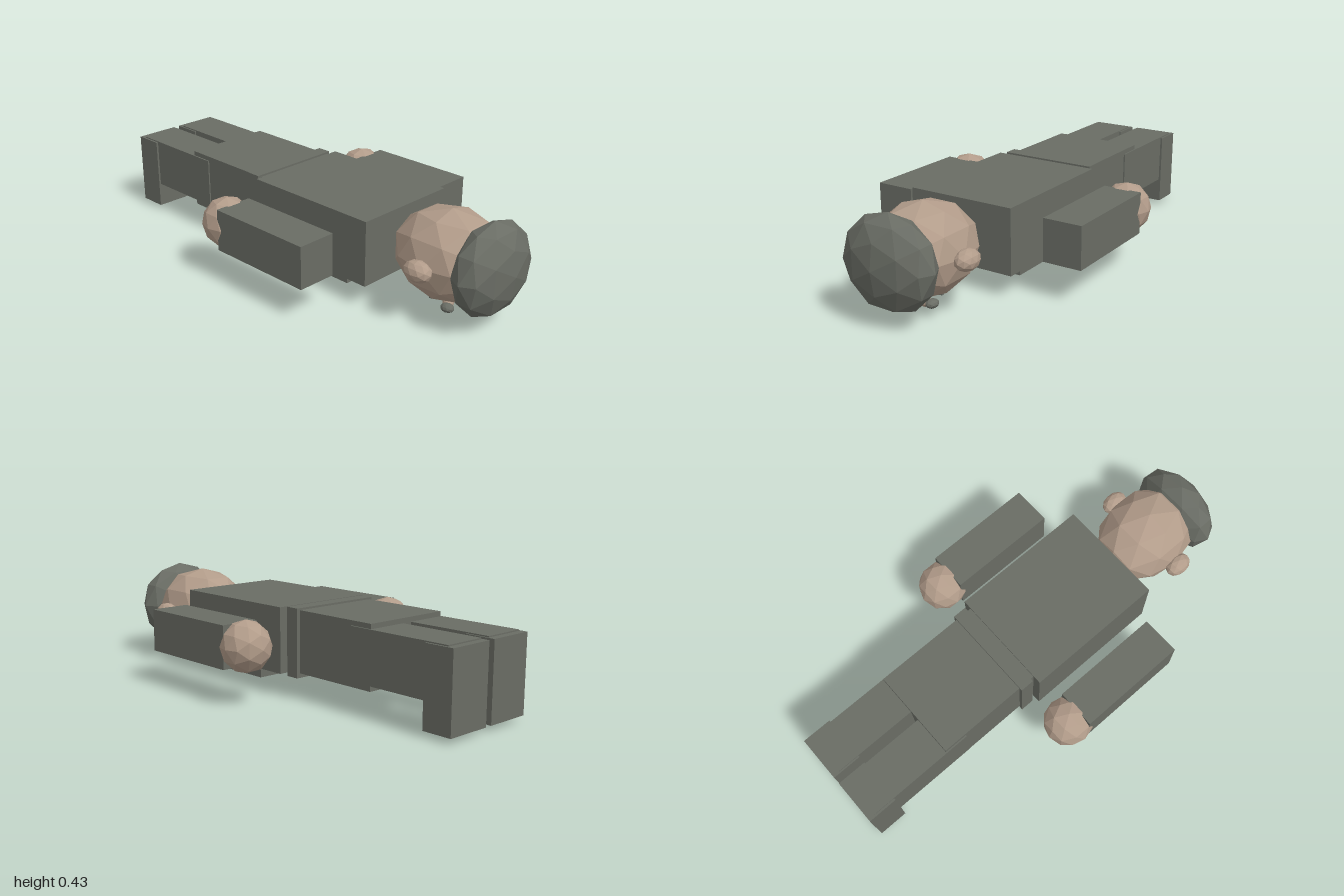
import * as THREE from 'three';

export function createModel() {
  const figure = new THREE.Group();
  figure.name = 'lyingFigure';

  const cloth = new THREE.MeshStandardMaterial({ color: 0x696c64, flatShading: true });
  cloth.name = 'greyGreen';
  const skin = new THREE.MeshStandardMaterial({ color: 0xb29c8a, flatShading: true });
  skin.name = 'skin';

  const add = (name, geometry, material) => {
    const mesh = new THREE.Mesh(geometry, material);
    mesh.name = name;
    figure.add(mesh);
    return mesh;
  };

  // Box given by its limits on each axis
  const box = (name, [x0, x1], [y0, y1], [z0, z1], material = cloth) =>
    add(name, new THREE.BoxGeometry(x1 - x0, y1 - y0, z1 - z0), material)
      .position.set((x0 + x1) / 2, (y0 + y1) / 2, (z0 + z1) / 2);

  // Faceted ball stretched to three radii
  const ball = (name, centre, radii, material) => {
    const geometry = new THREE.IcosahedronGeometry(1, 1);
    geometry.scale(...radii);
    geometry.computeVertexNormals();
    add(name, geometry, material).position.set(...centre);
  };

  // Trunk, lying face down with the head towards +z
  box('torso', [-0.236, 0.236], [0.097, 0.371], [-0.139, 0.477]);
  box('belt', [-0.213, 0.213], [0.088, 0.373], [-0.215, -0.155]);
  box('hips', [-0.198, 0.198], [0.107, 0.365], [-0.604, -0.13]);

  // Head and its face, which looks down
  ball('head', [0, 0.238, 0.7], [0.19, 0.187, 0.237], skin);
  ball('cap', [0, 0.242, 0.89], [0.205, 0.191, 0.108], cloth);
  ball('nose', [0, 0.024, 0.704], [0.023, 0.024, 0.023], skin);
  box('mouth', [-0.038, 0.038], [0.035, 0.044], [0.638, 0.652]);

  // Paired parts: mirror the x limits for each side
  for (const [side, s] of [['left', 1], ['right', -1]]) {
    const span = (a, b) => (s > 0 ? [a, b] : [-b, -a]);
    box(side + 'Arm', span(0.322, 0.49), [0.146, 0.324], [-0.093, 0.387]);
    ball(side + 'Hand', [s * 0.406, 0.235, -0.131], [0.104, 0.108, 0.106], skin);
    box(side + 'Pocket', span(0.035, 0.18), [0.037, 0.11], [0.053, 0.332]);
    box(side + 'Leg', span(0.022, 0.204), [0.13, 0.345], [-0.97, -0.5]);
    box(side + 'Shoe', span(0.015, 0.213), [0.022, 0.34], [-1, -0.873]);
    ball(side + 'Ear', [s * 0.203, 0.236, 0.706], [0.043, 0.043, 0.061], skin);
    ball(side + 'Eye', [s * 0.075, 0.052, 0.756], [0.024, 0.018, 0.029], cloth);
  }

  return figure;
}
